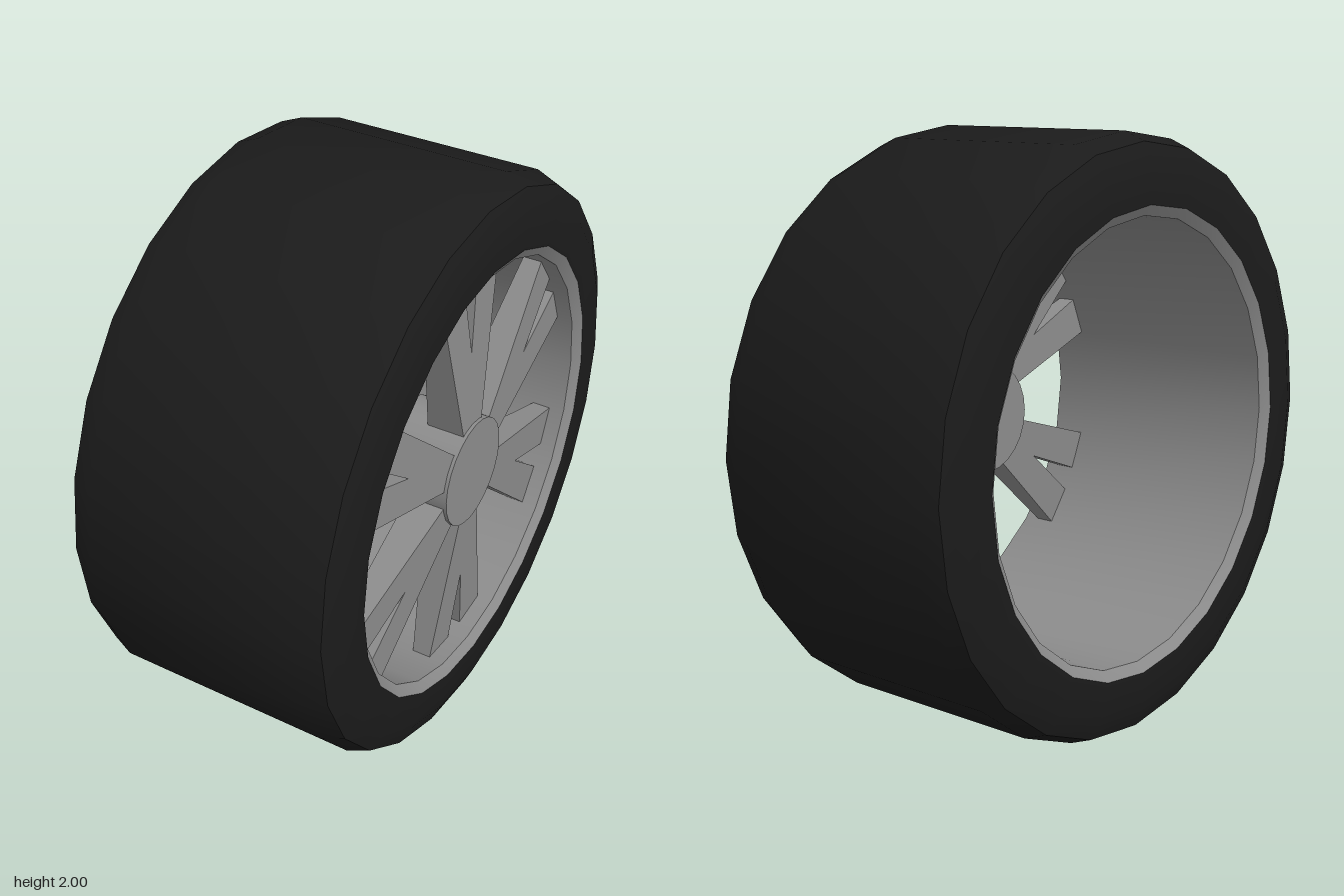
import * as THREE from 'three';
import { toCreasedNormals } from 'three/addons/utils/BufferGeometryUtils.js';

const SIDES = 24;
const rubber = new THREE.MeshStandardMaterial({ color: 0x1b1b1b });
const metal = new THREE.MeshStandardMaterial({ color: 0x8c8c8c });

// Ring turned around the axle (x); profile points are [radius, x]
function ring(name, profile, material) {
  const points = profile.map(([r, x]) => new THREE.Vector2(r, x));
  const geometry = new THREE.LatheGeometry(points, SIDES).rotateZ(-Math.PI / 2);
  const mesh = new THREE.Mesh(toCreasedNormals(geometry, 0.6), material);
  mesh.name = name;
  return mesh;
}

// Forked spoke: a closed plate that dishes inward and thins towards the rim
function spokeGeometry() {
  const outline = [
    [0.045, 0.1], [0.185, 0.72], [0.045, 0.738], [0, 0.46],
    [-0.045, 0.738], [-0.185, 0.72], [-0.045, 0.1],
  ].map(([x, y]) => new THREE.Vector2(x, y));
  const front = (p) => [p.x, p.y, THREE.MathUtils.mapLinear(p.y, 0.1, 0.74, 0.43, 0.393)];
  const back = (p) => [p.x, p.y, THREE.MathUtils.mapLinear(p.y, 0.1, 0.74, 0.29, 0.33)];
  const vertices = [];

  for (const face of THREE.ShapeUtils.triangulateShape(outline, [])) {
    const [a, b, c] = face.map((i) => outline[i]);
    vertices.push(...front(a), ...front(b), ...front(c));
    vertices.push(...back(c), ...back(b), ...back(a));
  }
  outline.forEach((a, i) => {
    const b = outline[(i + 1) % outline.length];
    vertices.push(...back(a), ...back(b), ...front(b));
    vertices.push(...back(a), ...front(b), ...front(a));
  });

  const geometry = new THREE.BufferGeometry();
  geometry.setAttribute('position', new THREE.Float32BufferAttribute(vertices, 3));
  geometry.computeVertexNormals();
  return geometry.rotateY(Math.PI / 2);
}

export function createModel() {
  const model = new THREE.Group();
  model.name = 'wheel';
  const wheel = new THREE.Group();
  wheel.name = 'wheelAssembly';
  wheel.position.y = 1;
  model.add(wheel);

  // Tyre with bevelled shoulders
  const shoulder = [[0.775, 0.475], [0.9, 0.475], [0.97, 0.445], [1, 0.37]];
  const mirrored = shoulder.map(([r, x]) => [r, -x]);
  wheel.add(ring('tyre', [...mirrored, ...shoulder.reverse()], rubber));

  // Rim barrel with a chamfered lip on each side
  wheel.add(ring('rim', [
    [0.775, 0.475], [0.74, 0.45], [0.74, -0.45], [0.775, -0.475],
  ], metal));

  // Hub
  const hub = new THREE.Mesh(
    new THREE.CylinderGeometry(0.19, 0.19, 0.25, SIDES).rotateZ(-Math.PI / 2), metal);
  hub.name = 'hub';
  hub.position.x = 0.312;
  wheel.add(hub);

  // Six forked spokes
  const geometry = spokeGeometry();
  for (let i = 0; i < 6; i++) {
    const spoke = new THREE.Mesh(geometry, metal);
    spoke.name = `spoke${i + 1}`;
    spoke.rotation.x = (i * Math.PI) / 3;
    wheel.add(spoke);
  }
  return model;
}
